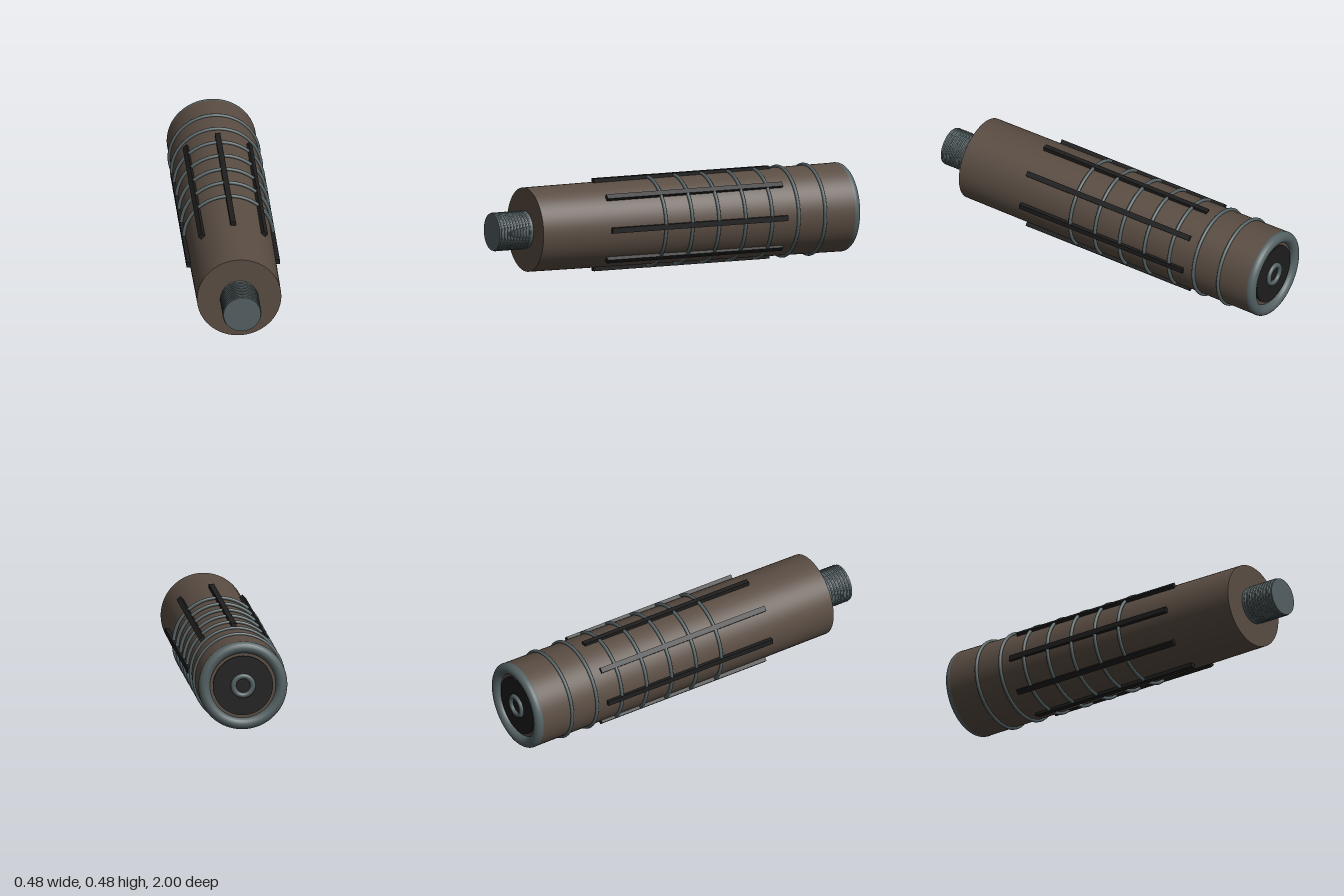
import * as THREE from 'three';

const mat = (name, color) => {
  const m = new THREE.MeshStandardMaterial({ color });
  m.name = name;
  return m;
};

export function createModel() {
  const brown = mat('brown body', 0x5a4d43);
  const steel = mat('grey steel', 0x546163);
  const black = mat('black rubber', 0x1e1e1e);

  const model = new THREE.Group();
  model.name = 'grip';
  const axis = new THREE.Group(); // everything turns around this z axis
  axis.name = 'gripAxis';
  axis.position.y = 0.242;
  model.add(axis);

  const add = (name, geometry, material, z = 0) => {
    const mesh = new THREE.Mesh(geometry, material);
    mesh.name = name;
    mesh.position.z = z;
    axis.add(mesh);
    return mesh;
  };
  // Cylinder along z between two ends
  const rod = (name, rFront, rBack, zFront, zBack, material) =>
    add(name, new THREE.CylinderGeometry(rFront, rBack, zFront - zBack, 64).rotateX(Math.PI / 2),
      material, (zFront + zBack) / 2);
  const ring = (name, radius, tube, z, segments = 12) =>
    add(name, new THREE.TorusGeometry(radius, tube, segments, 64), steel, z);

  // Slightly tapered body
  rod('body', 0.217, 0.229, 0.81, -0.97, brown);

  // Threaded stud at the front
  rod('stud', 0.096, 0.096, 1, 0.8, steel);
  for (let i = 0; i < 10; i++) ring('studThread', 0.095, 0.005, 0.83 + i * 0.0175, 8);

  // Long grip ribs around the body
  for (let i = 0; i < 8; i++) {
    const a = (i * Math.PI) / 4;
    const rib = add('gripRib', new THREE.BoxGeometry(0.028, 0.03, 1), black, -0.075);
    rib.position.x = Math.sin(a) * 0.225;
    rib.position.y = Math.cos(a) * 0.225;
    rib.rotation.z = -a;
  }

  // Thin bands crossing the ribs and behind them
  for (let i = 0; i < 7; i++) ring('band', 0.231, 0.009, 0.118 - i * 0.1513);

  // Rear end: rounded rim, dark cap and small ring
  ring('rearRim', 0.2, 0.03, -0.97, 20);
  rod('rearCap', 0.155, 0.155, -0.95, -0.98, black);
  ring('rearCapRing', 0.05, 0.014, -0.982);

  return model;
}
